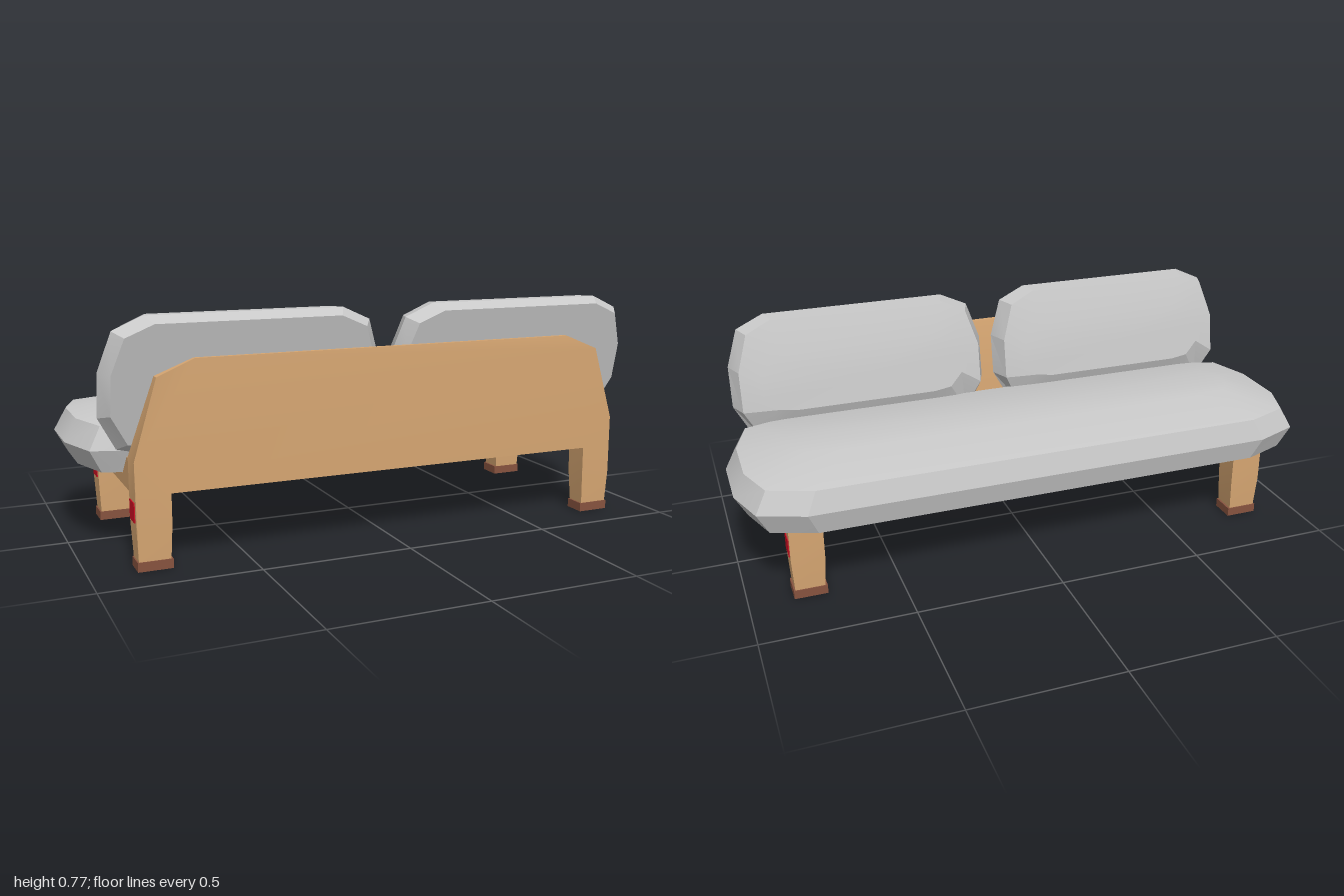
import * as THREE from 'three';
import { toCreasedNormals } from 'three/addons/utils/BufferGeometryUtils.js';

const mat = (name, color) => Object.assign(new THREE.MeshStandardMaterial({ color }), { name });

// Closed skin through rings of points, with a fan cap at each end
function loft(rings) {
  const n = rings[0].length, pos = [];
  const tri = (a, b, c) => pos.push(...a, ...b, ...c);
  const mid = r => [0, 1, 2].map(k => r.reduce((s, p) => s + p[k], 0) / n);
  const first = rings[0], last = rings[rings.length - 1];
  const c0 = mid(first), c1 = mid(last);
  for (let j = 0; j < n; j++) {
    const k = (j + 1) % n;
    for (let i = 0; i < rings.length - 1; i++) {
      const a = rings[i], b = rings[i + 1];
      tri(a[j], a[k], b[k]);
      tri(a[j], b[k], b[j]);
    }
    tri(first[k], first[j], c0);
    tri(last[j], last[k], c1);
  }
  const g = new THREE.BufferGeometry();
  g.setAttribute('position', new THREE.Float32BufferAttribute(pos, 3));
  return toCreasedNormals(g, 0.3);
}

// Piecewise linear lookup in [key, value] pairs
function along(table, t) {
  if (t <= table[0][0]) return table[0][1];
  for (let i = 1; i < table.length; i++) {
    const [a, va] = table[i - 1], [b, vb] = table[i];
    if (t <= b) return va + (vb - va) * (t - a) / (b - a);
  }
  return table[table.length - 1][1];
}

const shapeOf = pts => new THREE.Shape(pts.map(p => new THREE.Vector2(...p)));

export function createModel() {
  const group = new THREE.Group();
  const fabric = mat('grey fabric', 0xc9c9c9);
  const wood = mat('light wood', 0xd6a672);
  const cap = mat('brown foot', 0x87533f);
  const red = mat('red tag', 0xd01024);

  const add = (name, geometry, material, x = 0, y = 0, z = 0) => {
    const m = new THREE.Mesh(geometry, material);
    m.name = name;
    m.position.set(x, y, z);
    group.add(m);
    return m;
  };

  // Seat cushion: stacked outlines, crowned on top
  const half = [[1, 0.03], [1, -0.18], [0.95, -0.325], [0.8, -0.383]];
  const end = [[0.8, 0.235], [0.95, 0.19]];
  const flip = pts => pts.map(([x, z]) => [-x, z]).reverse();
  const outline = [...half, ...flip(half), ...flip(end), ...end];
  const seatRing = (sx, sz, y) => outline.map(([x, z]) => [x * sx, y, -0.07 + (z + 0.07) * sz]);
  add('seatCushion', loft([
    seatRing(0.82, 0.4, 0.258), seatRing(0.96, 0.935, 0.268), seatRing(1, 1, 0.343),
    seatRing(0.96, 0.935, 0.416), seatRing(0.8, 0.36, 0.455),
  ]), fabric);

  // Two leaning back cushions
  const side = [[0.457, 0.46], [0.457, 0.6], [0.415, 0.725], [0.32, 0.768]];
  const low = [[0.32, 0.335], [0.4, 0.355]];
  const face = [...side, ...flip(side), ...flip(low), ...low];
  const backRing = (sx, sy, table) => face.map(([x, y]) => {
    const v = 0.55 + (y - 0.55) * sy;
    return [x * sx, v, along(table, v)];
  });
  const backCushion = loft([
    backRing(0.78, 0.45, [[0.45, 0.18], [0.64, 0.217]]),
    backRing(0.94, 0.99, [[0.345, 0.225], [0.43, 0.192], [0.64, 0.228], [0.767, 0.262]]),
    backRing(1, 1, [[0.335, 0.245], [0.767, 0.325]]),
    backRing(0.93, 0.9, [[0.345, 0.283], [0.745, 0.373]]),
  ]);
  for (const s of [-1, 1]) add(s > 0 ? 'leftBackCushion' : 'rightBackCushion', backCushion, fabric, 0.48 * s);

  // Back panel with its two legs, tapered in depth by height
  const panelSide = [[0.75, 0.03], [0.85, 0.03], [0.855, 0.14], [0.855, 0.34], [0.78, 0.59], [0.66, 0.64]];
  const inner = [[0.745, 0.235], [0.745, 0.14]];
  const panel = new THREE.ExtrudeGeometry(
    shapeOf([...panelSide, ...flip(panelSide), ...flip(inner), ...inner]),
    { depth: 1, bevelEnabled: false });
  const p = panel.attributes.position;
  for (let i = 0; i < p.count; i++) {
    const y = p.getY(i);
    p.setZ(i, p.getZ(i) > 0.5
      ? along([[0.03, 0.373], [0.14, 0.378], [0.59, 0.378], [0.64, 0.372]], y)
      : along([[0.03, 0.304], [0.14, 0.296], [0.34, 0.294], [0.64, 0.357]], y));
  }
  add('backPanel', toCreasedNormals(panel, 0.3), wood);

  // Seat frame, extruded across the width
  const frame = new THREE.ExtrudeGeometry(shapeOf([
    [-0.295, 0.232], [0.3, 0.232], [0.3, 0.335], [0.27, 0.335], [0.2, 0.268], [-0.295, 0.268],
  ]), { depth: 1.706, bevelEnabled: false });
  frame.rotateY(-Math.PI / 2);
  add('seatFrame', frame, wood, 0.853);

  // Free-standing legs, feet and red side tags
  const legRing = (y, w, d) => [[w, y, d], [w, y, -d], [-w, y, -d], [-w, y, d]];
  const leg = loft([legRing(0.03, 0.049, 0.04), legRing(0.14, 0.055, 0.045), legRing(0.25, 0.055, 0.045)]);
  const foot = new THREE.BoxGeometry(0.11, 0.03, 0.075);
  const rearFoot = new THREE.BoxGeometry(0.11, 0.03, 0.085);
  const tag = new THREE.BoxGeometry(0.006, 0.062, 0.061);
  for (const s of [-1, 1]) {
    const label = s > 0 ? 'left' : 'right';
    add(label + 'Leg', leg, wood, 0.8 * s, 0, -0.25);
    add(label + 'RearFoot', rearFoot, cap, 0.799 * s, 0.015, -0.251);
    add(label + 'FrontFoot', foot, cap, 0.799 * s, 0.015, 0.339);
    add(label + 'RearTag', tag, red, 0.855 * s, 0.183, -0.251);
    add(label + 'FrontTag', tag, red, 0.855 * s, 0.183, 0.338);
  }
  return group;
}
